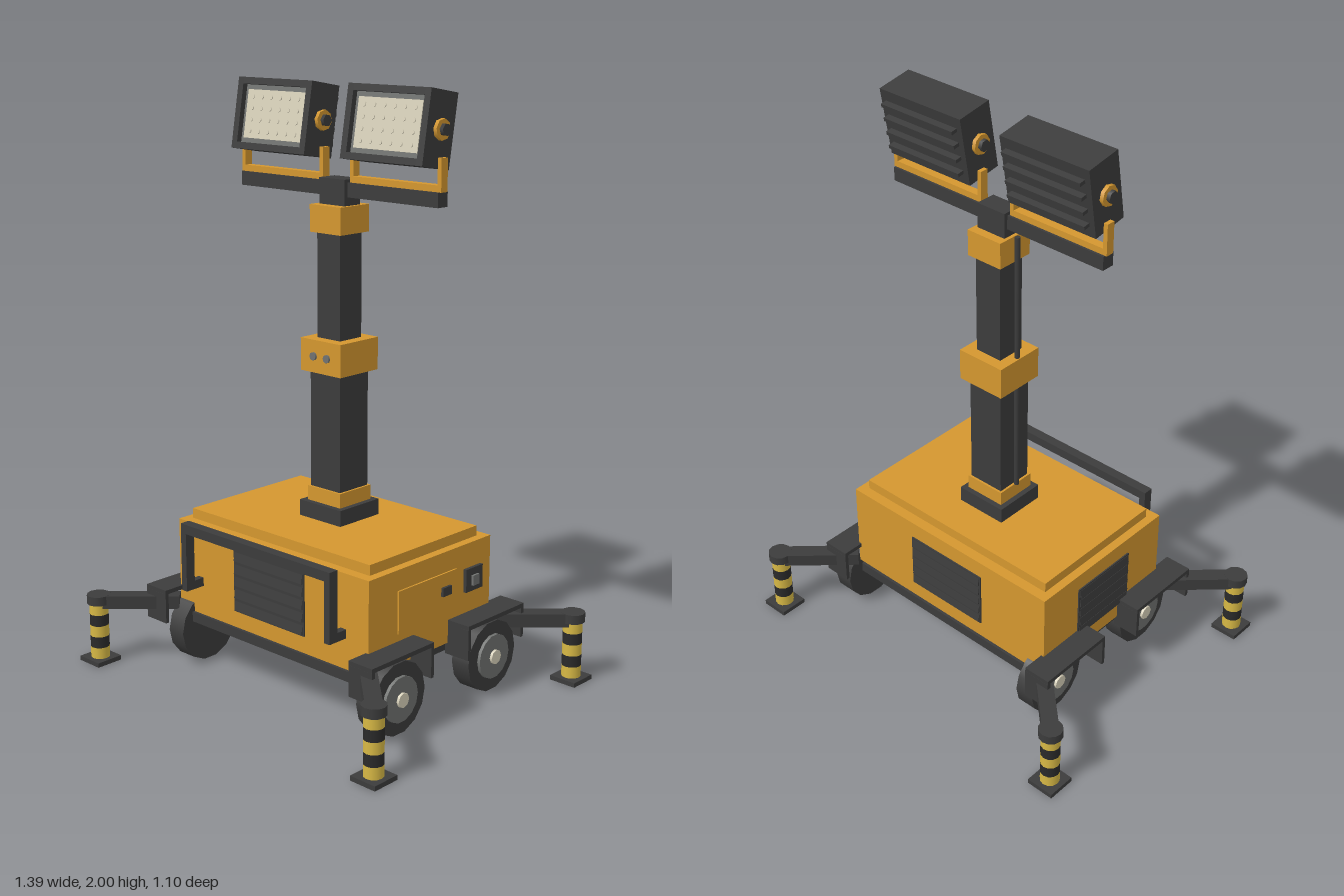
import * as THREE from 'three';

export function createModel() {
  const mat = (name, color) => {
    const m = new THREE.MeshStandardMaterial({ color });
    m.name = name;
    return m;
  };
  const orange = mat('orange paint', 0xd4972f);
  const dark = mat('dark metal', 0x3c3c3c);
  const black = mat('black stripe', 0x2a2a2a);
  const grey = mat('grey metal', 0x707270);
  const cream = mat('lamp cream', 0xd8d1ba);
  const yellow = mat('stripe yellow', 0xd8b945);

  const root = new THREE.Group();
  root.name = 'lightTower';

  const add = (parent, name, geo, m, x = 0, y = 0, z = 0) => {
    const mesh = new THREE.Mesh(geo, m);
    mesh.name = name;
    mesh.position.set(x, y, z);
    parent.add(mesh);
    return mesh;
  };
  // Box given by its limits on each axis
  const box = (parent, name, m, x0, x1, y0, y1, z0, z1) =>
    add(parent, name, new THREE.BoxGeometry(x1 - x0, y1 - y0, z1 - z0), m,
      (x0 + x1) / 2, (y0 + y1) / 2, (z0 + z1) / 2);
  // Cylinder along x, y or z
  const cyl = (parent, name, m, axis, r, len, x, y, z, sides = 12) => {
    const g = new THREE.CylinderGeometry(r, r, len, sides);
    if (axis === 'x') g.rotateZ(-Math.PI / 2);
    if (axis === 'z') g.rotateX(Math.PI / 2);
    return add(parent, name, g, m, x, y, z);
  };
  const group = (name, parent = root) => {
    const g = new THREE.Group();
    g.name = name;
    parent.add(g);
    return g;
  };

  // Cabinet
  box(root, 'baseFrame', dark, -0.42, 0.42, 0.165, 0.2, -0.31, 0.31);
  box(root, 'cabinet', orange, -0.44, 0.44, 0.2, 0.52, -0.3, 0.3);
  box(root, 'lid', orange, -0.41, 0.41, 0.52, 0.555, -0.263, 0.263);

  // Louvred grilles on the front, back and right side
  const grille = (name, w, h, x, y, z, turn) => {
    const g = group(name);
    g.position.set(x, y, z);
    g.rotation.y = turn;
    add(g, 'grillePlate', new THREE.BoxGeometry(w, h, 0.006), dark, 0, 0, 0.002);
    for (let i = 0; i < 5; i++) {
      const s = add(g, 'slat', new THREE.BoxGeometry(w - 0.01, h / 5 - 0.012, 0.005), dark, 0, (i - 2) * h / 5, 0.006);
      s.rotation.x = -0.15;
    }
  };
  grille('frontGrille', 0.326, 0.216, 0, 0.367, 0.3, 0);
  grille('backGrille', 0.32, 0.2, 0, 0.36, -0.3, Math.PI);
  grille('sideGrille', 0.26, 0.2, -0.44, 0.36, 0, -Math.PI / 2);

  // Service door, latch, control panel and small front hatch
  box(root, 'serviceDoor', orange, 0.439, 0.446, 0.305, 0.45, -0.12, 0.165);
  box(root, 'doorLatch', dark, 0.445, 0.455, 0.375, 0.405, -0.085, -0.042);
  box(root, 'controlPanel', dark, 0.439, 0.452, 0.355, 0.435, -0.248, -0.163);
  box(root, 'controlSwitch', grey, 0.451, 0.46, 0.375, 0.41, -0.222, -0.19);
  box(root, 'frontHatch', orange, -0.42, -0.365, 0.42, 0.465, 0.299, 0.305);

  // Front push handle
  box(root, 'handleBar', dark, -0.345, 0.345, 0.51, 0.543, 0.34, 0.376);
  for (const s of [-1, 1]) {
    const x = s * 0.333;
    box(root, 'handleLeg', dark, x - 0.012, x + 0.012, 0.305, 0.51, 0.34, 0.376);
    box(root, 'handleFoot', dark, x - 0.012, x + 0.012, 0.305, 0.335, 0.3, 0.34);
  }

  // Wheels, fenders and outriggers at each corner
  for (const sx of [-1, 1]) for (const sz of [-1, 1]) {
    const corner = group('runningGear');
    const wx = sx < 0 ? -0.405 : 0.475, wz = sz * 0.233;
    cyl(corner, 'tyre', dark, 'x', 0.123, 0.07, wx, 0.13, wz, 14);
    cyl(corner, 'rim', grey, 'x', 0.077, 0.012, wx + sx * 0.04, 0.13, wz, 14);
    cyl(corner, 'hub', cream, 'x', 0.025, 0.01, wx + sx * 0.05, 0.13, wz, 8);

    const fender = group('fender', corner);
    fender.position.set(sx * 0.478, 0, wz);
    box(fender, 'fenderTop', dark, -0.049, 0.049, 0.265, 0.28, -0.146, 0.146);
    for (const e of [-1, 1])
      add(fender, 'fenderEnd', new THREE.BoxGeometry(0.098, 0.105, 0.013), dark, 0, 0.213, e * 0.14);

    const a = new THREE.Vector2(sx * 0.44, sz * 0.305), b = new THREE.Vector2(sx * 0.645, sz * 0.5);
    const d = b.clone().sub(a);
    const arm = add(corner, 'outriggerArm', new THREE.BoxGeometry(d.length(), 0.045, 0.055), dark,
      (a.x + b.x) / 2, 0.223, (a.y + b.y) / 2);
    arm.rotation.y = -Math.atan2(d.y, d.x);

    cyl(corner, 'legCap', dark, 'y', 0.041, 0.032, b.x, 0.23, b.y);
    for (let i = 0; i < 5; i++)
      cyl(corner, 'legBand', i % 2 ? black : yellow, 'y', 0.033, 0.04, b.x, 0.036 + i * 0.04, b.y);
    box(corner, 'footPad', dark, b.x - 0.05, b.x + 0.05, 0, 0.016, b.y - 0.05, b.y + 0.05);
  }

  // Telescopic mast: name, colour, half width, bottom, top
  const mast = group('mast');
  mast.position.z = -0.033;
  for (const [name, m, r, y0, y1] of [
    ['mastBase', dark, 0.094, 0.555, 0.61],
    ['lowerCollar', orange, 0.075, 0.61, 0.66],
    ['lowerMast', dark, 0.067, 0.66, 1.06],
    ['middleCollar', orange, 0.09, 1.06, 1.17],
    ['upperMast', dark, 0.051, 1.17, 1.52],
    ['topCollar', orange, 0.068, 1.52, 1.61],
  ]) box(mast, name, m, -r, r, y0, y1, -r, r);
  for (const x of [-0.03, 0.03]) cyl(mast, 'collarBolt', grey, 'z', 0.014, 0.01, x, 1.115, 0.092, 8);
  cyl(mast, 'cable', dark, 'y', 0.009, 0.95, -0.078, 1.135, 0, 8);
  box(mast, 'mastHead', dark, -0.056, 0.056, 1.61, 1.695, -0.036, 0.036);
  box(mast, 'crossbar', dark, -0.433, 0.433, 1.638, 1.685, -0.023, 0.023);

  // Floodlights on their yokes
  for (const s of [-1, 1]) {
    const light = group('floodlight', mast);
    light.position.x = s * 0.249;
    box(light, 'yokeBase', orange, -0.189, 0.189, 1.685, 1.706, -0.015, 0.015);
    for (const e of [-1, 1])
      add(light, 'yokeArm', new THREE.BoxGeometry(0.015, 0.105, 0.03), orange, e * 0.182, 1.737, 0);

    const head = group('lampHead', light);
    head.position.y = 1.874;
    head.rotation.x = -0.17;
    box(head, 'lampHousing', dark, -0.17, 0.17, -0.118, 0.118, -0.064, 0.04);
    for (const e of [-1, 1]) {
      add(head, 'bezelSide', new THREE.BoxGeometry(0.024, 0.236, 0.024), dark, e * 0.158, 0, 0.052);
      add(head, 'bezelRail', new THREE.BoxGeometry(0.292, 0.022, 0.024), dark, 0, e * 0.107, 0.052);
      cyl(head, 'pivotPlate', orange, 'x', 0.034, 0.014, e * 0.176, 0, 0, 8);
      cyl(head, 'pivotBolt', dark, 'x', 0.02, 0.018, e * 0.187, 0, 0, 6);
    }
    box(head, 'reflector', grey, -0.146, 0.146, -0.096, 0.096, 0.04, 0.045);
    box(head, 'lens', cream, -0.132, 0.132, -0.08, 0.08, 0.045, 0.05);
    for (let i = 0; i < 6; i++) for (let j = 0; j < 4; j++)
      cyl(head, 'lampCell', cream, 'z', 0.008, 0.004, (i - 2.5) * 0.042, (j - 1.5) * 0.038, 0.051, 6);
    for (let i = 0; i < 4; i++)
      add(head, 'coolingFin', new THREE.BoxGeometry(0.3, 0.012, 0.024), dark, 0, (i - 1.5) * 0.05, -0.075);
  }
  return root;
}
